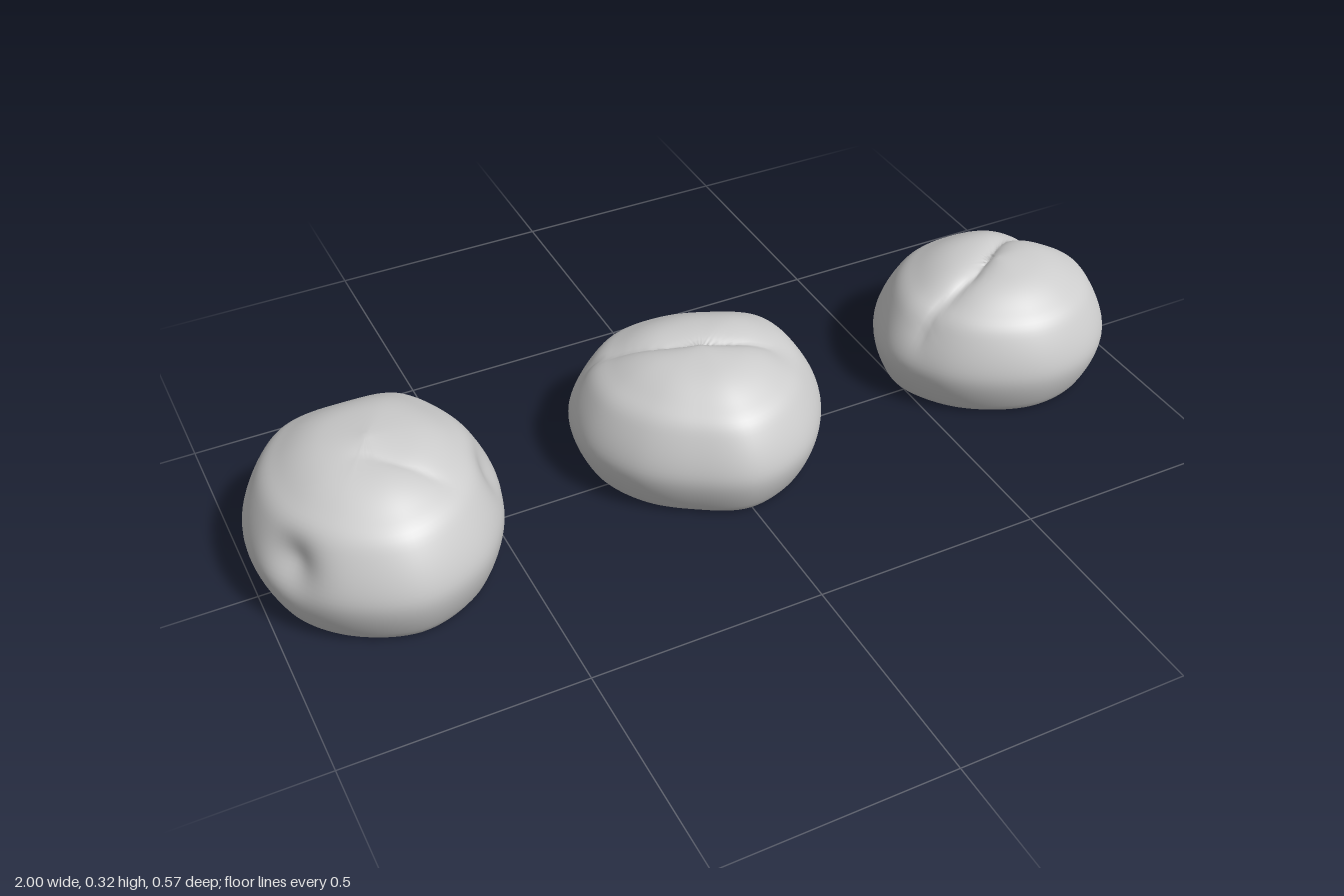
import * as THREE from 'three';
import { mergeVertices } from 'three/addons/utils/BufferGeometryUtils.js';

const COLUMNS = 112;
const ROWS = 64;

// Half section of a roll: x = share of the outline, y = share of the height
const section = new THREE.SplineCurve([
  [0, 1], [0.4, 0.94], [0.66, 0.83], [0.85, 0.69], [1, 0.37], [0.9, 0.07], [0.78, 0.015], [0.4, 0.03], [0, 0.045],
].map(([r, y]) => new THREE.Vector2(r, y))).getSpacedPoints(ROWS);

// Outline spline through radii at equal angles, running left, front, right, back
function makeOutline([cx, cz], radii) {
  const points = radii.map((r, i) => {
    const angle = (i / radii.length) * Math.PI * 2;
    return new THREE.Vector3(cx - r * Math.cos(angle), 0, cz + r * Math.sin(angle));
  });
  return new THREE.CatmullRomCurve3(points, true).getSpacedPoints(COLUMNS);
}

// Sharp valley along a path of [x, z] points on the crust, fading at both ends
function crease(path, width, depth) {
  const samples = new THREE.SplineCurve(path.map(([x, z]) => new THREE.Vector2(x, z))).getSpacedPoints(60);
  return (p) => {
    let best = Infinity;
    let along = 0;
    samples.forEach((s, i) => {
      const d = Math.hypot(p.x - s.x, p.z - s.y);
      if (d < best) { best = d; along = i / 60; }
    });
    const fade = Math.sqrt(Math.sin(Math.PI * (0.08 + 0.84 * along)));
    return depth * fade * Math.exp(-best / width) * THREE.MathUtils.smoothstep(p.y, 0.08, 0.2);
  };
}

// Soft round hollow
function dent(x, y, z, radius, depth) {
  const middle = new THREE.Vector3(x, y, z);
  return (p) => depth * Math.exp(-p.distanceToSquared(middle) / (radius * radius));
}

function makeRoll(name, center, height, radii, hollows) {
  const [cx, cz] = center;
  const outline = makeOutline(center, radii);
  const geometry = new THREE.SphereGeometry(1, COLUMNS, ROWS);
  const position = geometry.attributes.position;
  const p = new THREE.Vector3();
  const inward = new THREE.Vector3();

  section.forEach(({ x: r, y: h }, row) => {
    for (let column = 0; column <= COLUMNS; column++) {
      const edge = outline[column % COLUMNS];
      p.set(cx + (edge.x - cx) * r, h * height, cz + (edge.z - cz) * r);
      const push = hollows.reduce((sum, hollow) => sum + hollow(p), 0);
      inward.set(cx, height * 0.4, cz).sub(p).normalize();
      p.addScaledVector(inward, push);
      position.setXYZ(row * (COLUMNS + 1) + column, p.x, Math.max(p.y, 0), p.z);
    }
  });

  // Weld the seam so the crust shades smoothly all round
  geometry.deleteAttribute('uv');
  geometry.deleteAttribute('normal');
  const welded = mergeVertices(geometry, 1e-5);
  welded.computeVertexNormals();
  const mesh = new THREE.Mesh(welded, new THREE.MeshStandardMaterial({ color: 0xcccccc }));
  mesh.name = name;
  return mesh;
}

export function createModel() {
  const group = new THREE.Group();
  group.name = 'breadRolls';

  // Tallest roll, pinched on both sides and at the back
  group.add(makeRoll('leftRoll', [-0.74, 0], 0.323,
    [0.26, 0.265, 0.27, 0.283, 0.27, 0.255, 0.26, 0.27, 0.3, 0.287, 0.29, 0.27], [
      crease([[-0.77, 0.04], [-0.64, 0.14]], 0.035, 0.014),
      dent(-0.95, 0.17, 0.13, 0.055, 0.03),
      dent(-0.53, 0.17, 0.04, 0.06, 0.025),
      dent(-0.72, 0.2, -0.28, 0.08, 0.015),
      dent(-0.72, 0, -0.02, 0.1, 0.012),
    ]));

  // Roll with a diagonal fold over the top
  group.add(makeRoll('middleRoll', [-0.01, -0.02], 0.297,
    [0.272, 0.25, 0.24, 0.263, 0.262, 0.26, 0.275, 0.29, 0.258, 0.26, 0.28, 0.284], [
      crease([[-0.2, -0.16], [-0.1, -0.08], [0.06, -0.01], [0.15, 0.01]], 0.028, 0.026),
      dent(0.16, 0.22, 0.02, 0.06, 0.01),
      dent(0, 0, -0.05, 0.12, 0.01),
    ]));

  // Roll with a long fold running down to its back corner
  group.add(makeRoll('rightRoll', [0.73, -0.02], 0.295,
    [0.273, 0.25, 0.235, 0.24, 0.25, 0.26, 0.268, 0.25, 0.26, 0.25, 0.257, 0.262], [
      crease([[0.5, 0.04], [0.65, 0.01], [0.83, -0.11], [0.96, -0.12]], 0.026, 0.024),
      dent(0.95, 0.14, -0.13, 0.05, 0.015),
      dent(0.73, 0, -0.02, 0.1, 0.01),
    ]));

  return group;
}
